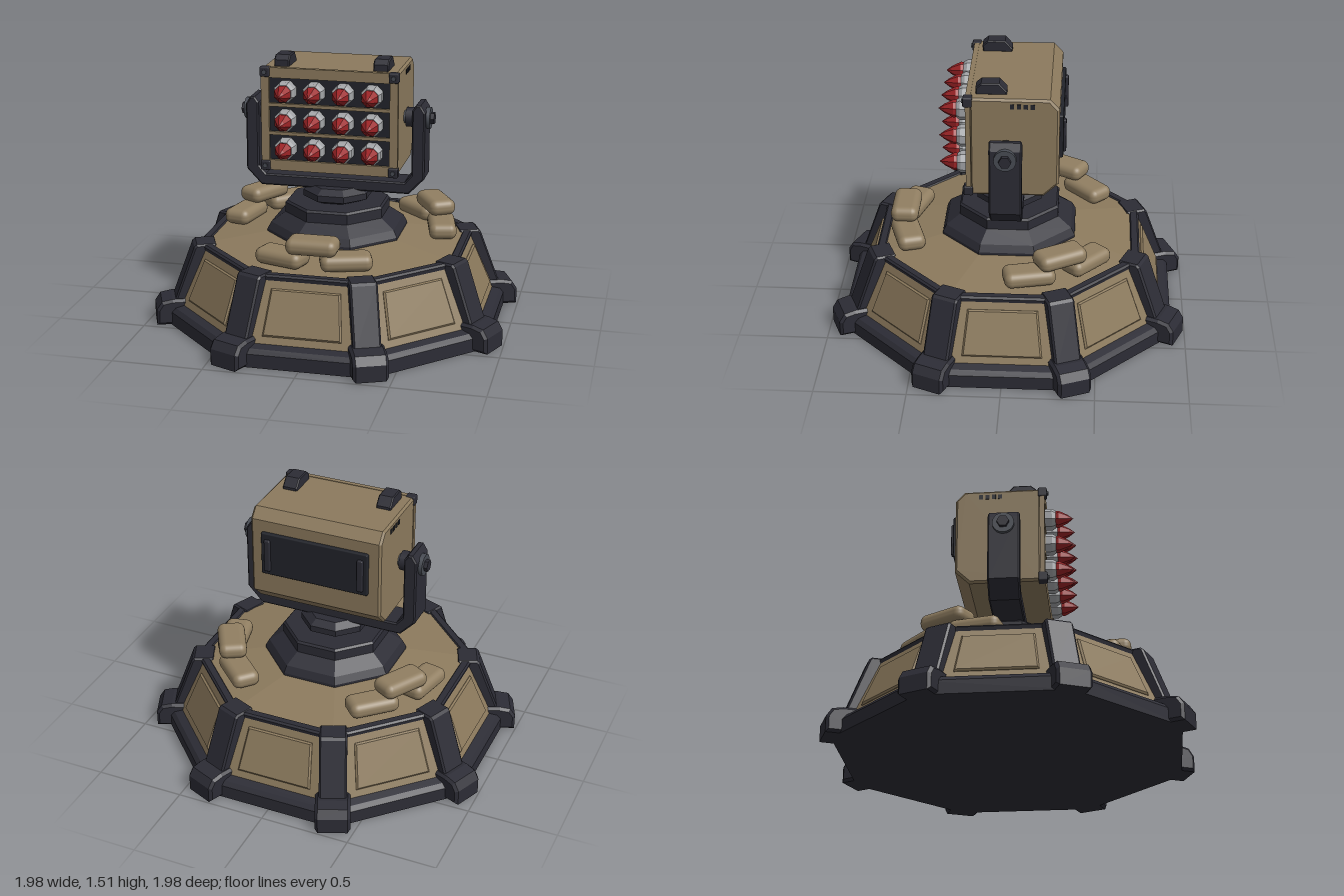
import * as THREE from 'three';
import { RoundedBoxGeometry } from 'three/addons/geometries/RoundedBoxGeometry.js';

const paint = (name, color) => Object.assign(new THREE.MeshStandardMaterial({ color }), { name });

// Faceted eight-sided solid with flats facing the axes; profile is [apothem, y], bottom to top
function octagon(profile) {
  const k = 1 / Math.cos(Math.PI / 8);
  const pts = profile.map(([r, y]) => new THREE.Vector2(r * k, y));
  const geo = new THREE.LatheGeometry(pts, 8, Math.PI / 8).toNonIndexed();
  geo.computeVertexNormals();
  return geo;
}

// Chamfered prism of a polygon, centred on z = 0
function prism(points, depth, bevel = 0.01) {
  const shape = new THREE.Shape(points.map(([x, y]) => new THREE.Vector2(x, y)));
  const inner = depth - 2 * bevel;
  return new THREE.ExtrudeGeometry(shape, {
    depth: inner, bevelEnabled: bevel > 0, bevelThickness: bevel, bevelSize: bevel,
    bevelOffset: -bevel, bevelSegments: 1,
  }).translate(0, 0, -inner / 2);
}

// Prism whose polygon is given as [z, y] and which runs along x
const sidePrism = (points, width, bevel) => prism(points, width, bevel).rotateY(-Math.PI / 2);

export function createModel() {
  const tan = paint('tan armour', 0x8c7a5d);
  const bagTan = paint('sandbag tan', 0x917f62);
  const dark = paint('dark metal', 0x2c2c35);
  const black = paint('recess black', 0x22242b);
  const steel = paint('mid grey steel', 0x484c54);
  const silver = paint('light grey', 0xa3a5a8);
  const red = paint('warhead red', 0x9c2326);

  const model = new THREE.Group();
  model.name = 'missileTurret';
  const add = (parent, name, geo, mat, x = 0, y = 0, z = 0) => {
    const mesh = new THREE.Mesh(geo, mat);
    mesh.name = name;
    mesh.position.set(x, y, z);
    parent.add(mesh);
    return mesh;
  };
  const group = (parent, name) => {
    const g = new THREE.Group();
    g.name = name;
    parent.add(g);
    return g;
  };

  // Octagonal base
  const base = group(model, 'base');
  add(base, 'groundTrim', octagon([[0, 0], [0.92, 0], [0.92, 0.075], [0.9, 0.1], [0.85, 0.115]]), dark);
  add(base, 'walls', octagon([[0.862, 0.1], [0.728, 0.43]]), tan);
  add(base, 'topRim', octagon([[0.73, 0.422], [0.735, 0.445], [0.725, 0.455], [0.69, 0.455], [0.68, 0.44]]), dark);
  add(base, 'deck', octagon([[0.695, 0.445], [0.34, 0.5], [0, 0.5]]), tan);

  // Wall panels, corner pillars and feet
  const panelGeo = prism([[-0.215, -0.13], [0.215, -0.13], [0.188, 0.125], [-0.188, 0.125]], 0.024, 0.009);
  const footGeo = prism([[0.8, 0], [1.04, 0], [1.04, 0.09], [1.01, 0.135], [0.95, 0.147], [0.8, 0.147]], 0.19, 0.015);
  const pillarGeo = prism([[0.78, 0.1], [0.938, 0.13], [0.82, 0.445], [0.805, 0.458], [0.7, 0.458], [0.68, 0.4]], 0.15, 0.01);
  for (let i = 0; i < 8; i++) {
    const side = group(base, 'baseSide');
    side.rotation.y = i * Math.PI / 4;
    add(side, 'wallPanel', panelGeo, tan, 0, 0.27, 0.793).rotation.x = -Math.atan(0.134 / 0.33);
    const corner = group(base, 'baseCorner');
    corner.rotation.y = (i + 0.5) * Math.PI / 4;
    add(corner, 'foot', footGeo, dark);
    add(corner, 'pillar', pillarGeo, dark);
  }

  // Three sandbag stacks
  const bagGeo = new RoundedBoxGeometry(0.28, 0.09, 0.155, 3, 0.04);
  for (let i = 0; i < 3; i++) {
    const stack = group(model, 'sandbagStack');
    stack.rotation.y = i * Math.PI * 2 / 3;
    for (const [turn, y] of [[-0.3, 0.505], [0.3, 0.505], [0, 0.588]]) {
      add(stack, 'sandbag', bagGeo, bagTan, Math.sin(turn) * 0.59, y, Math.cos(turn) * 0.59).rotation.y = turn;
    }
  }

  // Stepped pedestal and swivel collar
  add(model, 'pedestal', octagon([[0.37, 0.485], [0.37, 0.51], [0.35, 0.55], [0.275, 0.605],
    [0.275, 0.66], [0.265, 0.672], [0, 0.672]]), dark);
  add(model, 'swivelCollar', octagon([[0.11, 0.665], [0.18, 0.695], [0.18, 0.73], [0.14, 0.76], [0, 0.76]]), dark);

  // U-shaped yoke
  const half = [[0.42, 0.745], [0.505, 0.835], [0.505, 1.21], [0.48, 1.25], [0.455, 1.25], [0.433, 1.22],
    [0.433, 0.855], [0.395, 0.81]];
  const mirrored = half.map(([x, y]) => [-x, y]).reverse();
  add(model, 'yoke', prism([...half, ...mirrored], 0.175, 0.008), dark);

  // Pivots on both arms
  for (const s of [-1, 1]) {
    const pivot = group(model, 'pivot');
    pivot.position.y = 1.165;
    const disc = (name, r, from, to, sides, mat) => add(pivot, name,
      new THREE.CylinderGeometry(r, r, to - from, sides).toNonIndexed().rotateZ(Math.PI / 2), mat, s * (from + to) / 2);
    disc('axle', 0.035, 0.36, 0.5, 16, steel);
    disc('innerHub', 0.055, 0.39, 0.44, 16, dark);
    disc('washer', 0.06, 0.5, 0.525, 20, steel);
    const bolt = new THREE.CylinderGeometry(0.034, 0.034, 0.025, 6).toNonIndexed();
    bolt.computeVertexNormals();
    add(pivot, 'hexBolt', bolt.rotateZ(Math.PI / 2), dark, s * 0.533);
  }

  // Launcher casing
  const launcher = group(model, 'launcher');
  add(launcher, 'casing', sidePrism([[0.195, 0.878], [0.195, 1.45], [-0.23, 1.45], [-0.28, 1.395],
    [-0.28, 0.955], [-0.2, 0.878]], 0.755, 0.012), tan);

  // Front frame with three slots
  const rows = [1.325, 1.165, 1.005];
  const frame = new THREE.Shape([[-0.38, 0.876], [0.38, 0.876], [0.38, 1.453], [-0.38, 1.453]]
    .map(p => new THREE.Vector2(...p)));
  for (const y of rows) {
    frame.holes.push(new THREE.Path([[-0.335, y - 0.071], [-0.335, y + 0.071], [0.335, y + 0.071], [0.335, y - 0.071]]
      .map(p => new THREE.Vector2(...p))));
  }
  add(launcher, 'frontFrame', new THREE.ExtrudeGeometry(frame, { depth: 0.027, bevelEnabled: false }), tan, 0, 0, 0.19);
  add(launcher, 'slotBacking', new THREE.BoxGeometry(0.7, 0.5, 0.008), black, 0, 1.165, 0.198);

  // Missiles
  const sleeveGeo = octagon([[0.056, -0.02], [0.056, 0.03], [0.045, 0.05], [0, 0.05]]).rotateX(Math.PI / 2);
  const tipGeo = octagon([[0.042, 0], [0.045, 0.02], [0.022, 0.07], [0, 0.102]]).rotateX(Math.PI / 2);
  for (const y of rows) {
    for (const x of [-0.24, -0.08, 0.08, 0.24]) {
      add(launcher, 'missileSleeve', sleeveGeo, silver, x, y, 0.222);
      add(launcher, 'missileTip', tipGeo, red, x, y, 0.268);
    }
  }

  // Corner brackets, top lugs and side vents
  const bracketGeo = new RoundedBoxGeometry(0.055, 0.055, 0.05, 1, 0.008);
  const rivetGeo = new THREE.CylinderGeometry(0.013, 0.013, 0.012, 8).rotateX(Math.PI / 2);
  const lugGeo = sidePrism([[0.165, 1.445], [0.165, 1.485], [0.135, 1.51], [0.04, 1.51], [0, 1.465], [0, 1.445]], 0.085, 0.006);
  const ventGeo = new THREE.BoxGeometry(0.008, 0.027, 0.022);
  for (const s of [-1, 1]) {
    for (const y of [0.902, 1.428]) {
      add(launcher, 'cornerBracket', bracketGeo, dark, s * 0.357, y, 0.205);
      add(launcher, 'rivet', rivetGeo, steel, s * 0.357, y, 0.232);
    }
    add(launcher, 'topLug', lugGeo, dark, s * 0.275);
    for (let i = 0; i < 4; i++) add(launcher, 'vent', ventGeo, black, s * 0.376, 1.41, -0.03 - i * 0.036);
  }

  // Rear hatch with end bars
  add(launcher, 'rearHatch', new RoundedBoxGeometry(0.62, 0.25, 0.04, 1, 0.008), black, 0, 1.205, -0.28);
  for (const s of [-1, 1]) {
    add(launcher, 'hatchBar', new RoundedBoxGeometry(0.035, 0.19, 0.03, 1, 0.008), dark, s * 0.27, 1.2, -0.3);
  }

  return model;
}
